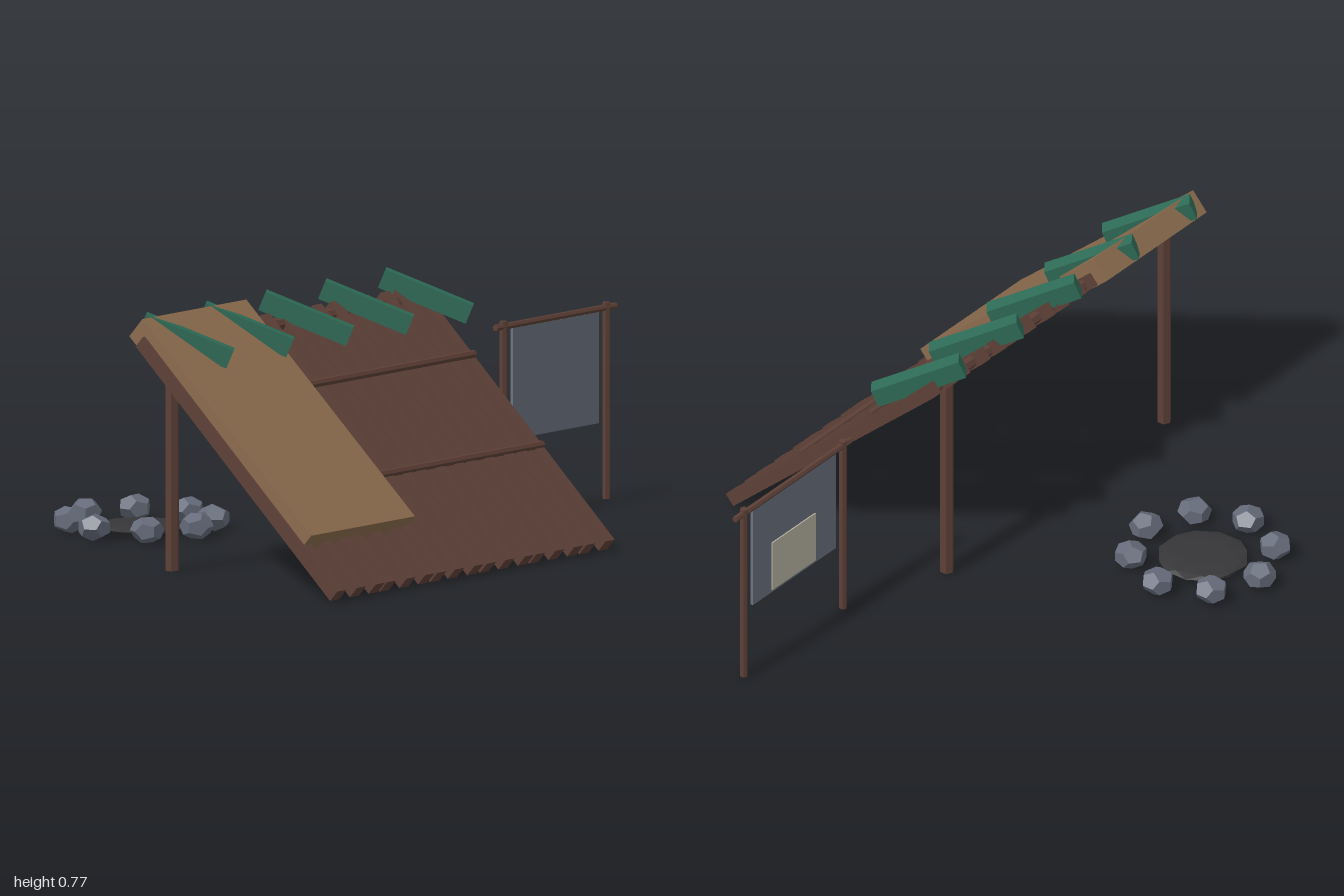
import * as THREE from 'three';

const mat = (name, color) => {
  const m = new THREE.MeshStandardMaterial({ color });
  m.name = name;
  m.flatShading = true;
  return m;
};

export function createModel() {
  const model = new THREE.Group();
  model.name = 'leanToCamp';
  const bark = mat('barkBrown', 0x5d4037);
  const tan = mat('tanHide', 0x8b6b4e);
  const green = mat('leafGreen', 0x2e6b57);
  const slate = mat('slateGrey', 0x6b7280);
  const stone = mat('stoneGrey', 0x656b7a);
  const ash = mat('ashBlack', 0x363638);
  const paper = mat('paleCloth', 0xb8b4a2);

  const add = (parent, name, geo, material, x = 0, y = 0, z = 0) => {
    const mesh = new THREE.Mesh(geo, material);
    mesh.name = name;
    mesh.position.set(x, y, z);
    parent.add(mesh);
    return mesh;
  };
  const group = (name) => {
    const g = new THREE.Group();
    g.name = name;
    model.add(g);
    return g;
  };
  // Square-sawn beam running from a to b
  const beam = (parent, name, a, b, w, h, material) => {
    const p = new THREE.Vector3(...a), q = new THREE.Vector3(...b);
    const mesh = add(parent, name, new THREE.BoxGeometry(w, h, p.distanceTo(q)), material);
    mesh.position.copy(p).add(q).multiplyScalar(0.5);
    mesh.lookAt(q);
    return mesh;
  };
  const pole = (parent, name, x, z, y0, y1, r) =>
    add(parent, name, new THREE.CylinderGeometry(r, r, y1 - y0, 6), bark, x, (y0 + y1) / 2, z);
  const rail = (parent, name, x0, x1, y, z, r) => {
    const m = add(parent, name, new THREE.CylinderGeometry(r, r, x1 - x0, 6), bark, (x0 + x1) / 2, y, z);
    m.rotation.z = Math.PI / 2;
  };

  // Sloping roof of slats, slightly uneven
  const roof = group('roof');
  const slats = [-0.98, -0.89, -0.805, -0.755, -0.665, -0.58, -0.525, -0.445, -0.357,
    -0.3, -0.215, -0.127, -0.075, 0.012, 0.097, 0.153, 0.24];
  const drift = [0, 0.006, -0.004, 0.005, -0.006, 0.004, 0.01, 0, -0.007];
  slats.forEach((x, i) =>
    beam(roof, 'slat', [x, 0.026, 0.762], [x + drift[i % 9], 0.705, 0.016], 0.041, 0.042, bark));
  rail(roof, 'upperBatten', -0.98, 0.26, 0.538, 0.237, 0.012);
  rail(roof, 'lowerBatten', -0.98, 0.26, 0.296, 0.498, 0.012);

  // Ridge pole and its two posts
  rail(roof, 'ridgePole', -0.94, 0.2, 0.685, 0.04, 0.018);
  for (const x of [-0.88, 0.145]) pole(roof, 'ridgePost', x, 0.04, 0.014, 0.69, 0.021);

  // Thick hide laid over one end of the roof
  beam(roof, 'hideCover', [-0.755, 0.1665, 0.642], [-0.755, 0.7435, -0.005], 0.472, 0.076, tan);

  // Green boughs laid askew across the ridge
  for (let i = 0; i < 5; i++) {
    const x = -0.868 + i * 0.272;
    beam(roof, 'bough', [x - 0.078, 0.753, -0.016], [x + 0.078, 0.648, 0.188], 0.052, 0.058, green);
  }

  // Hanging cloth on a two-post frame, with a pale patch on its back
  const frame = group('clothFrame');
  for (const x of [0.49, 0.957]) pole(frame, 'framePost', x, 0.155, 0.014, 0.598, 0.012);
  rail(frame, 'frameBar', 0.453, 1, 0.582, 0.155, 0.01);
  add(frame, 'cloth', new THREE.BoxGeometry(0.392, 0.33, 0.008), slate, 0.724, 0.408, 0.155);
  add(frame, 'patch', new THREE.BoxGeometry(0.205, 0.165, 0.004), paper, 0.73, 0.335, 0.149);

  // Ring of stones around an ash bed
  const fire = group('firePit');
  fire.position.set(-0.367, 0, -0.512);
  const bed = add(fire, 'ashBed', new THREE.IcosahedronGeometry(0.138, 1), ash, 0, 0.027, 0);
  bed.scale.y = 0.11;
  bed.rotation.y = 0.3;
  for (let i = 0; i < 8; i++) {
    const a = (i * Math.PI) / 4;
    const rock = add(fire, 'stone', new THREE.DodecahedronGeometry(0.051), stone,
      Math.cos(a) * 0.213, 0.048, Math.sin(a) * 0.213);
    rock.scale.y = 0.8;
    rock.rotation.y = i * 0.9;
  }
  return model;
}
